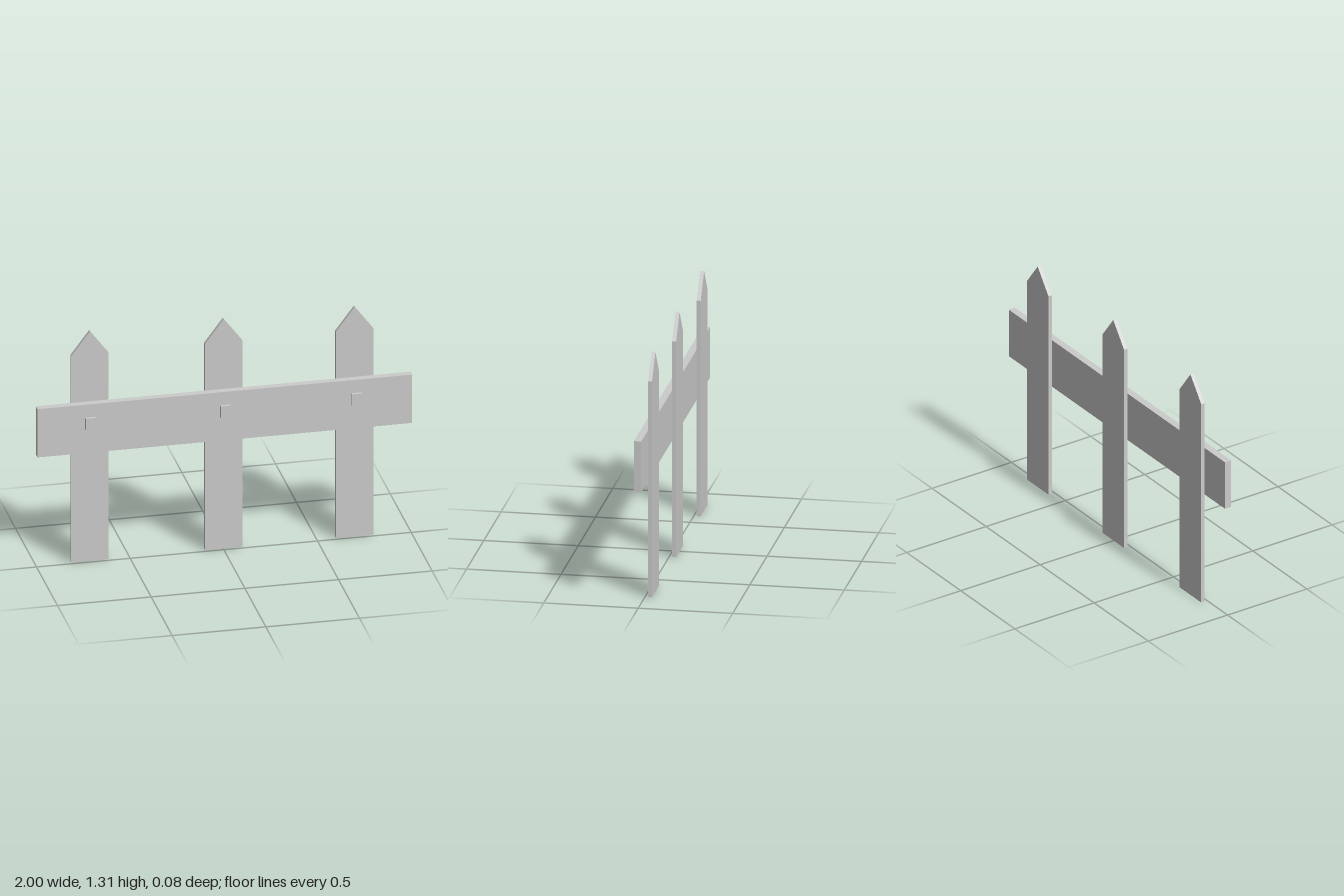
import * as THREE from 'three';

const material = new THREE.MeshStandardMaterial({ color: 0xcccccc, flatShading: true });

function addMesh(parent, name, geometry, x, y, z) {
  const mesh = new THREE.Mesh(geometry, material);
  mesh.name = name;
  mesh.position.set(x, y, z);
  parent.add(mesh);
}

// Flat board with a pointed top, its back face at z = 0
function picketGeometry(width, shoulder, peak, depth) {
  const w = width / 2;
  const shape = new THREE.Shape([
    new THREE.Vector2(-w, 0),
    new THREE.Vector2(w, 0),
    new THREE.Vector2(w, shoulder),
    new THREE.Vector2(0, peak),
    new THREE.Vector2(-w, shoulder),
  ]);
  return new THREE.ExtrudeGeometry(shape, { depth, bevelEnabled: false });
}

export function createModel() {
  const fence = new THREE.Group();
  fence.name = 'picketFence';

  // Horizontal board across the front of the pickets
  addMesh(fence, 'rail', new THREE.BoxGeometry(2, 0.276, 0.039), 0, 0.774, 0.0035);

  // Three pickets, each with a square nail head on the rail
  const picket = picketGeometry(0.2, 1.178, 1.31, 0.021);
  const nail = new THREE.BoxGeometry(0.056, 0.066, 0.015);
  const columns = [
    { name: 'right', x: -0.711, nailX: -0.717 },
    { name: 'middle', x: 0.003, nailX: 0.003 },
    { name: 'left', x: 0.702, nailX: 0.704 },
  ];
  for (const { name, x, nailX } of columns) {
    addMesh(fence, `${name}Picket`, picket, x, 0, -0.037);
    addMesh(fence, `${name}NailHead`, nail, nailX, 0.805, 0.0305);
  }
  return fence;
}
